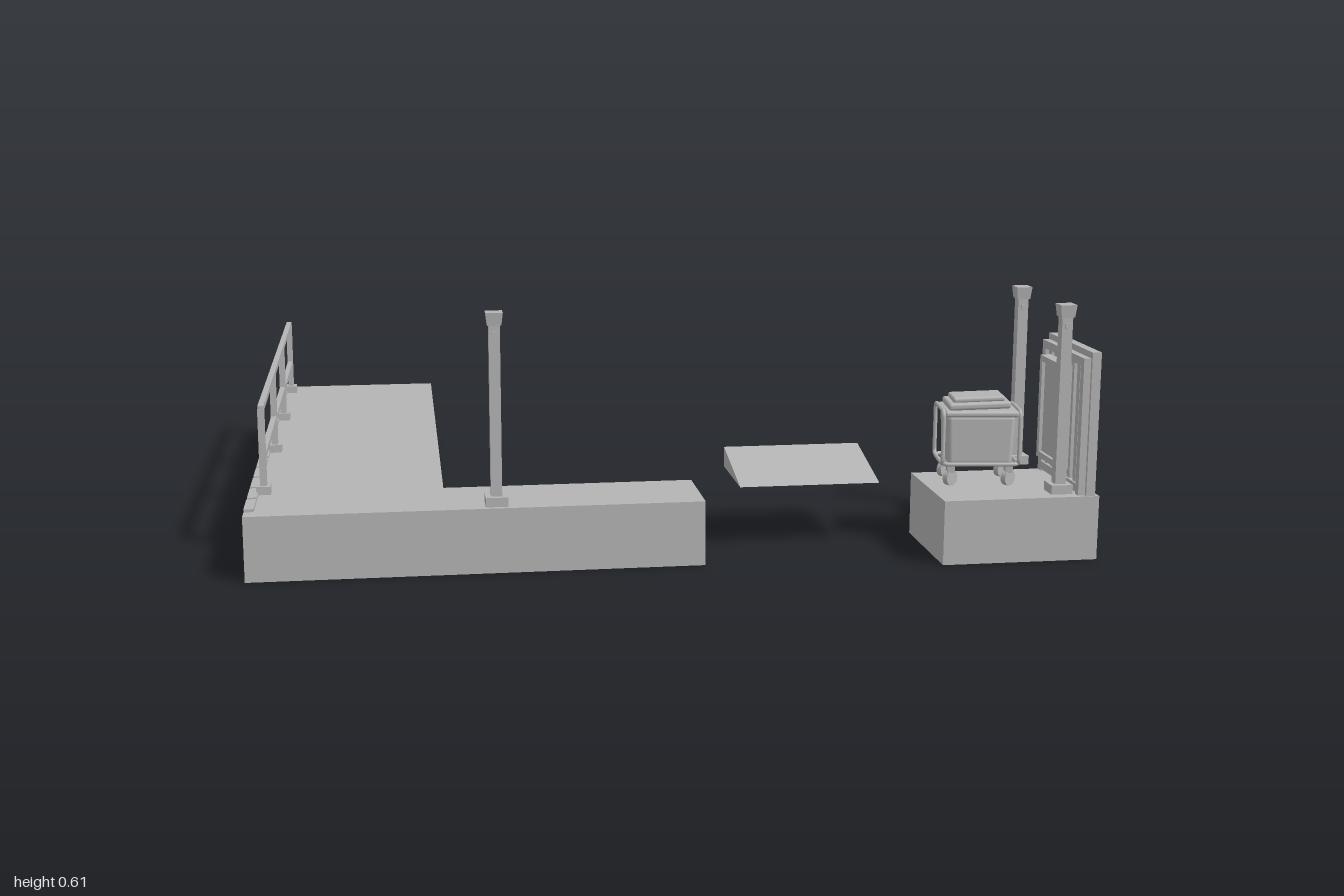
import * as THREE from 'three';
import { RoundedBoxGeometry } from 'three/addons/geometries/RoundedBoxGeometry.js';

const grey = new THREE.MeshStandardMaterial({ color: 0xb4b4b4 });
grey.name = 'plain grey';

function add(parent, name, geometry, x = 0, y = 0, z = 0) {
  const mesh = new THREE.Mesh(geometry, grey);
  mesh.name = name;
  mesh.position.set(x, y, z);
  parent.add(mesh);
  return mesh;
}

// box given by its low and high corners
function span(parent, name, x0, x1, y0, y1, z0, z1) {
  return add(parent, name, new THREE.BoxGeometry(x1 - x0, y1 - y0, z1 - z0),
    (x0 + x1) / 2, (y0 + y1) / 2, (z0 + z1) / 2);
}

function group(parent, name, x = 0, y = 0, z = 0) {
  const g = new THREE.Group();
  g.name = name;
  g.position.set(x, y, z);
  parent.add(g);
  return g;
}

const DECK = 0.155;

// square post with foot, flared cap and a through bolt
function lampPost(parent, x, z) {
  const g = group(parent, 'post', x, DECK, z);
  span(g, 'postFoot', -0.026, 0.026, 0, 0.022, -0.026, 0.026);
  span(g, 'postShaft', -0.013, 0.013, 0.022, 0.425, -0.013, 0.013);
  const cap = new THREE.CylinderGeometry(0.028, 0.023, 0.03, 4).toNonIndexed();
  cap.rotateY(Math.PI / 4);
  cap.computeVertexNormals();
  add(g, 'postCap', cap, 0, 0.438, 0);
  const bolt = new THREE.CylinderGeometry(0.007, 0.007, 0.038, 12);
  bolt.rotateX(Math.PI / 2);
  add(g, 'postBolt', bolt, 0, 0.403, 0);
}

function railing(parent) {
  const g = group(parent, 'railing', -0.965, 0, 0);
  for (const z of [0.515, 0.07, -0.332, -0.735]) {
    span(g, 'railPost', -0.008, 0.008, DECK, 0.36, z - 0.008, z + 0.008);
    span(g, 'railFoot', -0.017, 0.017, DECK, DECK + 0.02, z - 0.019, z + 0.019);
  }
  for (const y of [0.243, 0.362]) {
    span(g, 'rail', -0.007, 0.007, y - 0.007, y + 0.007, -0.743, 0.523);
  }
  // low kerb pieces along the edge
  for (let i = 0; i < 14; i++) {
    const z = -0.775 + i * 0.1055;
    span(g, 'kerb', -0.035, -0.012, DECK, DECK + 0.007, z, z + 0.092);
  }
}

// layered wall panel facing inward
function wall(parent) {
  const g = group(parent, 'wall');
  span(g, 'wallBack', 0.965, 0.987, DECK, 0.5, 0.515, 0.803);
  for (const z of [0.52, 0.775]) span(g, 'wallStile', 0.948, 0.966, DECK, 0.485, z, z + 0.02);
  for (const y of [0.16, 0.465]) span(g, 'wallRail', 0.948, 0.966, y, y + 0.02, 0.538, 0.777);
  for (let i = 0; i < 6; i++) {
    const z = 0.552 + i * 0.038;
    span(g, 'wallSlat', 0.953, 0.966, 0.18, 0.465, z, z + 0.018);
  }
  span(g, 'wallBoard', 0.934, 0.954, 0.2, 0.455, 0.565, 0.71);
  for (const y of [0.2, 0.44]) span(g, 'boardTrim', 0.926, 0.936, y, y + 0.015, 0.565, 0.71);
  for (const z of [0.565, 0.695]) span(g, 'boardTrim', 0.926, 0.936, 0.2, 0.455, z, z + 0.015);
}

// closed tube through corner points, with softly rounded corners
function loopTube(parent, name, points, radius) {
  const path = new THREE.CurvePath();
  const v = points.map((p) => new THREE.Vector3(...p));
  const n = v.length;
  const r = 0.016;
  const toward = (a, b) => a.clone().add(b.clone().sub(a).setLength(r));
  for (let i = 0; i < n; i++) {
    const a = v[i], b = v[(i + 1) % n], c = v[(i + 2) % n];
    path.add(new THREE.LineCurve3(toward(a, b), toward(b, a)));
    path.add(new THREE.QuadraticBezierCurve3(toward(b, a), b, toward(b, c)));
  }
  return add(parent, name, new THREE.TubeGeometry(path, 64, radius, 8, true));
}

function cart(parent) {
  const g = group(parent, 'cart', 0.753, DECK, 0.62);
  g.rotation.y = -0.13;
  // body, narrowing a little toward the bottom
  const body = new RoundedBoxGeometry(0.165, 0.125, 0.115, 3, 0.012);
  const p = body.attributes.position;
  for (let i = 0; i < p.count; i++) {
    const k = 0.97 + p.getY(i) * 0.5;
    p.setX(i, p.getX(i) * k);
    p.setZ(i, p.getZ(i) * k);
  }
  add(g, 'cartBody', body, 0, 0.113, 0);
  add(g, 'cartRim', new RoundedBoxGeometry(0.178, 0.016, 0.126, 2, 0.007), 0, 0.178, 0);
  // tilted lid in two layers
  const lid = group(g, 'lid', -0.004, 0.196, 0);
  lid.rotation.z = 0.04;
  add(lid, 'lidBase', new RoundedBoxGeometry(0.15, 0.018, 0.104, 2, 0.007), 0, 0, 0);
  add(lid, 'lidTop', new RoundedBoxGeometry(0.125, 0.014, 0.082, 2, 0.006), 0, 0.014, 0);
  // end frames and bottom frame
  for (const s of [-1, 1]) {
    const x = s * 0.092;
    loopTube(g, 'endFrame', [[x, 0.055, -0.06], [x, 0.055, 0.06], [x, 0.185, 0.06], [x, 0.185, -0.06]], 0.005);
  }
  loopTube(g, 'bottomFrame',
    [[-0.092, 0.055, -0.06], [0.092, 0.055, -0.06], [0.092, 0.055, 0.06], [-0.092, 0.055, 0.06]], 0.005);
  // casters
  for (const x of [-0.07, 0.07]) {
    for (const z of [-0.045, 0.045]) {
      const wheel = new THREE.CylinderGeometry(0.019, 0.019, 0.014, 20);
      wheel.rotateX(Math.PI / 2);
      wheel.rotateY(0.7);
      add(g, 'casterWheel', wheel, x, 0.019, z);
      add(g, 'casterFork', new THREE.BoxGeometry(0.018, 0.022, 0.022), x, 0.044, z);
    }
  }
}

export function createModel() {
  const model = new THREE.Group();
  model.name = 'platforms';

  // L-shaped deck and the separate block
  span(model, 'longDeck', -1, -0.54, 0, DECK, -0.815, 0.73);
  span(model, 'sideDeck', -0.54, 0.065, 0, DECK, 0.52, 0.73);
  span(model, 'block', 0.62, 0.997, 0, DECK, 0.52, 0.805);

  // wedge ramp, thin at the front
  const side = new THREE.Shape([
    new THREE.Vector2(-0.61, 0), new THREE.Vector2(-0.39, 0), new THREE.Vector2(-0.39, 0.05),
  ]);
  const ramp = new THREE.ExtrudeGeometry(side, { depth: 0.345, bevelEnabled: false });
  ramp.rotateY(Math.PI / 2);
  add(model, 'ramp', ramp, 0.17, DECK, 0);

  railing(model);
  lampPost(model, -0.422, 0.692);
  lampPost(model, 0.915, 0.752);
  lampPost(model, 0.915, 0.447);
  wall(model);
  cart(model);
  return model;
}
